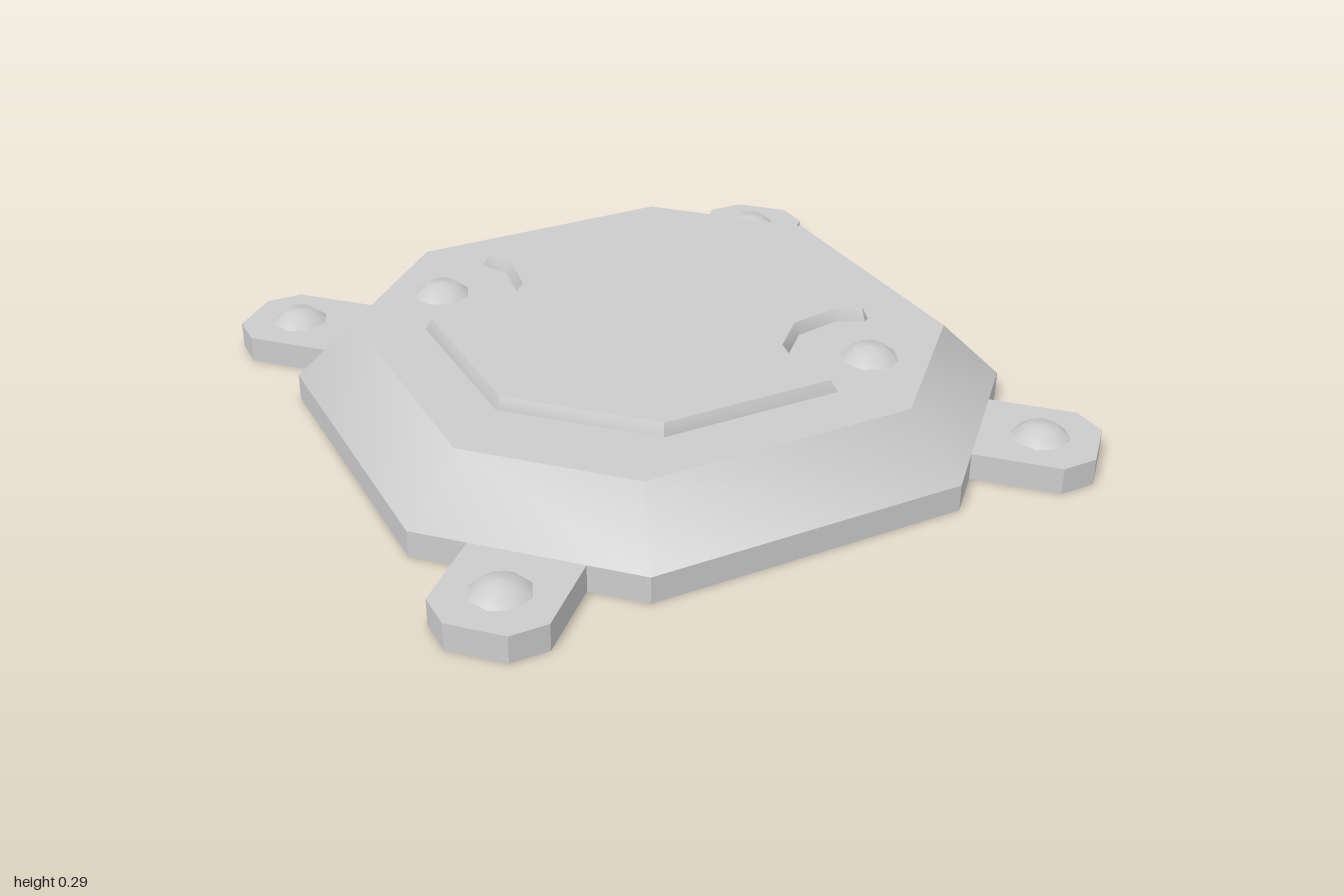
import * as THREE from 'three';
import { toCreasedNormals } from 'three/addons/utils/BufferGeometryUtils.js';

const material = new THREE.MeshStandardMaterial({ color: 0xcccccc });

// Extrude a plan outline given as [x, z] pairs; height runs along y
function slab(points, options, reshape) {
  const shape = new THREE.Shape(points.map(([x, z]) => new THREE.Vector2(x, -z)));
  const geometry = new THREE.ExtrudeGeometry(shape, { bevelEnabled: false, ...options });
  geometry.rotateX(-Math.PI / 2);
  if (reshape) reshape(geometry.attributes.position);
  return toCreasedNormals(geometry, 0.65);
}

// Repeat a list of points under a half turn
const halfTurn = (points) => [...points, ...points.map(([x, z]) => [-x, -z])];

export function createModel() {
  const model = new THREE.Group();
  const add = (name, geometry, x = 0, y = 0, z = 0) => {
    const mesh = new THREE.Mesh(geometry, material);
    mesh.name = name;
    mesh.position.set(x, y, z);
    model.add(mesh);
    return mesh;
  };

  // Octagonal body: low vertical wall, then a slope to a smaller flat top
  const W = 0.94, C = 0.47, H = 0.25;
  const octagon = halfTurn([[C, -W], [W, -C], [W, C], [C, W]]);
  add('body', slab(octagon, { depth: H, steps: 2 }, (pos) => {
    for (let i = 0; i < pos.count; i++) {
      const y = pos.getY(i);
      if (y > 0.2) {
        const inset = (v) => Math.sign(v) * (Math.abs(v) > 0.7 ? 0.775 : 0.405);
        pos.setXYZ(i, inset(pos.getX(i)), H, inset(pos.getZ(i)));
      } else if (y > 0.1) pos.setY(i, 0.08);
    }
  }));

  // Raised panel with bevelled rim and a notch around each top bolt
  const panel = halfTurn([
    [-0.28, -0.605], [0.26, -0.605], [0.6, -0.27], [0.6, 0.265], [0.58, 0.28],
    [0.5, 0.24], [0.36, 0.265], [0.265, 0.36], [0.24, 0.505], [0.275, 0.585],
  ]);
  add('raisedPanel', slab(panel, {
    depth: 0.02, bevelEnabled: true, bevelSegments: 1,
    bevelThickness: 0.035, bevelSize: 0.016, bevelOffset: -0.016,
  }), 0, 0.23, 0);

  // Domed bolt heads
  const dome = new THREE.LatheGeometry(
    [[0.085, 0], [0.045, 0.032], [0, 0.037]].map(([r, y]) => new THREE.Vector2(r, y)), 8);
  for (const s of [-1, 1]) add('topBolt', dome, s * 0.47, H, s * 0.47);

  // Corner mounting tabs, each with a bolt
  const tab = slab([
    [0.82, 0.59], [1, 0.77], [1, 0.88], [0.88, 1], [0.77, 1], [0.59, 0.82],
  ], { depth: 0.08 });
  for (let i = 0; i < 4; i++) {
    add('mountingTab', tab).rotation.y = i * Math.PI / 2;
    const sx = i % 2 ? 1 : -1, sz = i < 2 ? 1 : -1;
    add('tabBolt', dome, sx * 0.825, 0.08, sz * 0.825);
  }
  return model;
}
